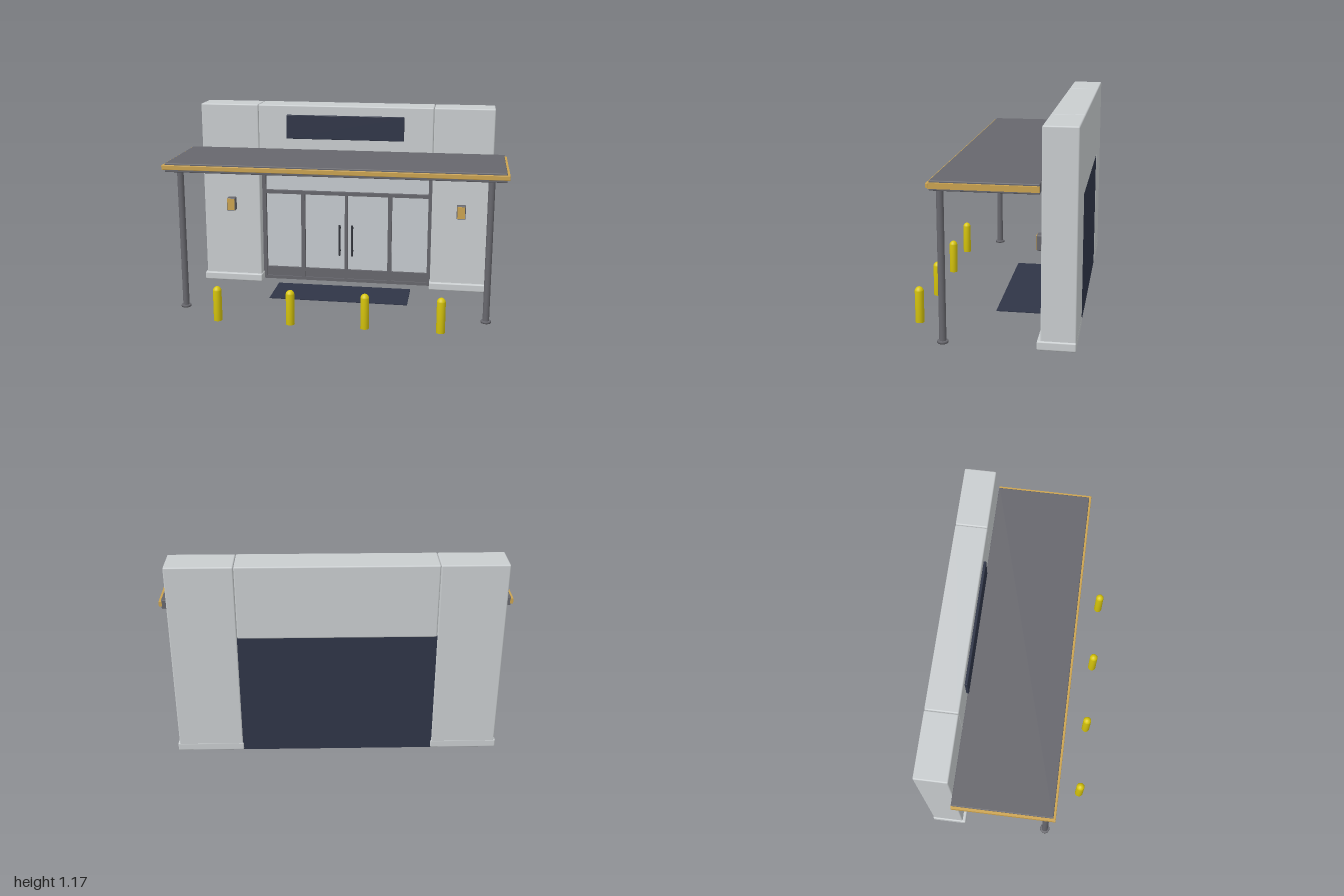
import * as THREE from 'three';
import { RoundedBoxGeometry } from 'three/addons/geometries/RoundedBoxGeometry.js';

const mat = (name, color) => {
  const m = new THREE.MeshStandardMaterial({ color });
  m.name = name;
  return m;
};

export function createModel() {
  const root = new THREE.Group();
  root.name = 'storeEntrance';

  const wall = mat('wallGrey', 0xc9cdcf);
  const glass = mat('paleGlass', 0xc6cbcf);
  const metal = mat('metalGrey', 0x67676d);
  const navy = mat('navy', 0x2f3547);
  const gold = mat('goldTrim', 0xcba350);
  const yellow = mat('safetyYellow', 0xd8c60c);
  const dark = mat('darkHandle', 0x35373e);

  const add = (name, geometry, material, x = 0, y = 0, z = 0, parent = root) => {
    const mesh = new THREE.Mesh(geometry, material);
    mesh.name = name;
    mesh.position.set(x, y, z);
    parent.add(mesh);
    return mesh;
  };
  // Box given by its extents, with optional rounded edges
  const box = (name, material, [x0, x1], [y0, y1], [z0, z1], r = 0, parent = root) => {
    const s = [x1 - x0, y1 - y0, z1 - z0];
    const g = r ? new RoundedBoxGeometry(...s, 2, r) : new THREE.BoxGeometry(...s);
    return add(name, g, material, (x0 + x1) / 2, (y0 + y1) / 2, (z0 + z1) / 2, parent);
  };
  const span = (c, w) => [c - w / 2, c + w / 2];

  // Facade: header between two piers, closed at the back
  box('header', wall, [-0.551, 0.551], [0.74, 1.17], [-0.46, -0.275], 0.008);
  box('backPanel', navy, [-0.553, 0.553], [0, 0.745], [-0.456, -0.43]);
  box('signPanel', navy, [-0.37, 0.37], [0.96, 1.11], [-0.278, -0.26], 0.003);

  for (const s of [-1, 1]) {
    const side = s > 0 ? 'left' : 'right';
    box(side + 'Pier', wall, span(s * 0.738, 0.371), [0, 1.17], [-0.46, -0.275], 0.008);
    box(side + 'Plinth', wall, span(s * 0.74, 0.385), [0, 0.05], [-0.461, -0.256], 0.008);

    // Wall lamp
    box(side + 'LampBody', metal, span(s * 0.737, 0.056), [0.483, 0.568], [-0.277, -0.232], 0.006);
    box(side + 'LampFace', gold, span(s * 0.737, 0.047), [0.488, 0.563], [-0.234, -0.229]);

    // Canopy post with foot
    add(side + 'Post', new THREE.CylinderGeometry(0.019, 0.019, 0.84, 24), metal, s * 0.902, 0.42, 0.244);
    const foot = [[0, 0], [0.03, 0], [0.03, 0.009], [0.027, 0.013], [0, 0.013]];
    add(side + 'PostFoot', new THREE.LatheGeometry(foot.map(p => new THREE.Vector2(...p)), 24),
      metal, s * 0.902, 0, 0.244);

    // Canopy side trim
    box(side + 'Fascia', gold, span(s * 0.99, 0.018), [0.853, 0.883], [-0.275, 0.283]);
  }

  // Canopy
  box('canopySlab', metal, [-0.985, 0.985], [0.84, 0.893], [-0.275, 0.28], 0.005);
  box('frontFascia', gold, [-1, 1], [0.856, 0.883], [0.278, 0.293], 0.003);
  for (const x of [-0.555, 0, 0.555])
    box('canopyLight', gold, span(x, 0.19), [0.834, 0.842], [-0.032, 0.037]);

  // Glazed entrance
  const doors = new THREE.Group();
  doors.name = 'entranceDoors';
  root.add(doors);
  const zf = [-0.395, -0.335];
  for (const x of [-0.541, 0.541]) box('jamb', metal, span(x, 0.025), [0, 0.745], zf, 0, doors);
  for (const x of [-0.284, 0.284]) box('mullion', metal, span(x, 0.025), [0, 0.59], zf, 0, doors);
  box('centreStile', metal, span(0, 0.018), [0.01, 0.59], zf, 0, doors);
  box('headRail', metal, [-0.55, 0.55], [0.715, 0.745], zf, 0, doors);
  box('transomRail', metal, [-0.53, 0.53], [0.583, 0.605], zf, 0, doors);
  box('sill', metal, [-0.53, 0.53], [0, 0.02], zf, 0, doors);
  box('transomGlass', glass, [-0.53, 0.53], [0.605, 0.715], [-0.372, -0.36], 0, doors);
  for (const [a, b] of [[-0.53, -0.295], [-0.275, -0.008], [0.008, 0.275], [0.295, 0.53]]) {
    box('doorGlass', glass, [a, b], [0.02, 0.583], [-0.372, -0.36], 0, doors);
    box('kickPlate', metal, [a, b], [0.02, 0.08], [-0.38, -0.345], 0, doors);
  }
  // Pull handles on short brackets
  for (const x of [-0.041, 0.041]) {
    add('handle', new THREE.CylinderGeometry(0.007, 0.007, 0.205, 16), dark, x, 0.287, -0.32, doors);
    for (const y of [0.21, 0.365])
      box('handleBracket', dark, span(x, 0.008), span(y, 0.008), [-0.362, -0.32], 0, doors);
  }

  // Entrance mat
  box('entranceMat', navy, [-0.43, 0.43], [0, 0.005], [-0.24, 0.04]);

  // Bollards with domed caps
  const profile = [[0, 0], [0.025, 0], [0.025, 0.184], [0.024, 0.188], [0.021, 0.195],
    [0.015, 0.202], [0.008, 0.206], [0, 0.207]].map(p => new THREE.Vector2(...p));
  for (const x of [-0.647, -0.216, 0.216, 0.647])
    add('bollard', new THREE.LatheGeometry(profile, 24), yellow, x, 0, 0.435);

  return root;
}
